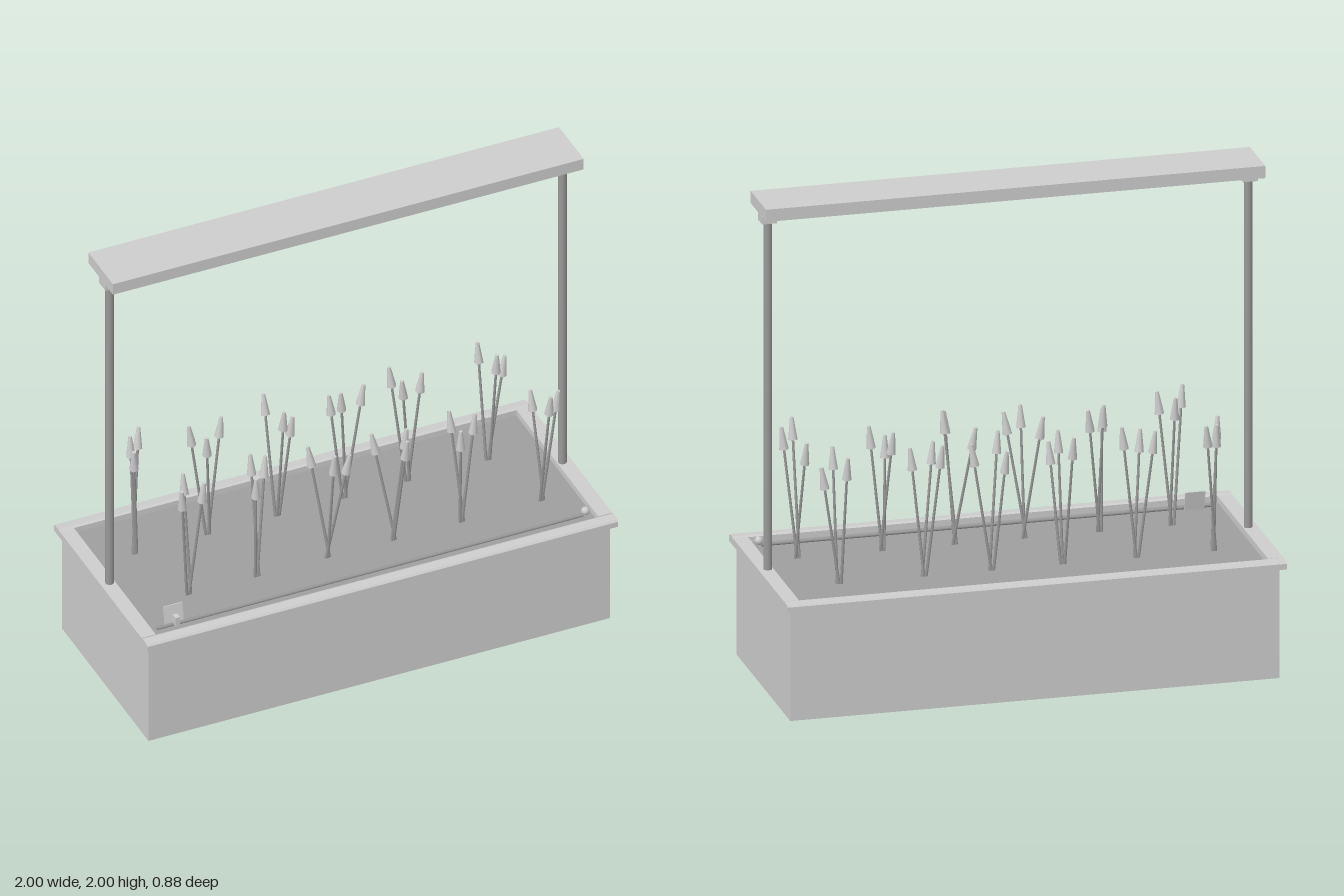
import * as THREE from 'three';

export function createModel() {
  const model = new THREE.Group();
  const mat = (name, color) => new THREE.MeshStandardMaterial({ name, color });
  const light = mat('light grey', 0xcccccc);
  const soilGrey = mat('soil grey', 0x9e9e9e);
  const steel = mat('steel grey', 0x999999);

  function add(name, geometry, material, x = 0, y = 0, z = 0, parent = model) {
    const mesh = new THREE.Mesh(geometry, material);
    mesh.name = name;
    mesh.position.set(x, y, z);
    parent.add(mesh);
    return mesh;
  }
  const box = (name, w, h, d, x, y, z, m = light) =>
    add(name, new THREE.BoxGeometry(w, h, d), m, x, y, z);

  // Cylinder running between two points, r0 at the start and r1 at the end
  function rod(name, a, b, r0, r1, sides, material, parent) {
    const dir = b.clone().sub(a);
    const mesh = add(name, new THREE.CylinderGeometry(r1, r0, dir.length(), sides), material, 0, 0, 0, parent);
    mesh.position.copy(a).add(b).multiplyScalar(0.5);
    mesh.quaternion.setFromUnitVectors(new THREE.Vector3(0, 1, 0), dir.normalize());
    return mesh;
  }

  // Rim board profile: flat top with a slightly lowered outer lip
  const lip = new THREE.Shape();
  [[0.385, 0.455], [0.44, 0.455], [0.44, 0.478], [0.433, 0.485], [0.395, 0.488], [0.385, 0.483]]
    .forEach(([z, y], i) => (i ? lip.lineTo(z, y) : lip.moveTo(z, y)));
  const lipGeometry = new THREE.ExtrudeGeometry(lip, { depth: 2, bevelEnabled: false });
  lipGeometry.translate(0, 0, -1);

  // Open-bottomed trough, rim, posts and brackets, mirrored in pairs
  for (const s of [-1, 1]) {
    box('longWall', 1.96, 0.456, 0.006, 0, 0.228, s * 0.402);
    box('endWall', 0.006, 0.456, 0.806, s * 0.977, 0.228, 0);
    add('longRim', lipGeometry, light).rotation.y = s * Math.PI / 2;
    box('endRim', 0.06, 0.03, 0.77, s * 0.97, 0.47, 0);
    add('post', new THREE.CylinderGeometry(0.017, 0.017, 1.45, 16), steel, s * 0.962, 1.185, 0);
    box('postBracket', 0.06, 0.04, 0.06, s * 0.963, 1.93, 0);
  }
  box('soil', 1.95, 0.006, 0.8, 0, 0.456, 0, soilGrey);
  box('topBeam', 2, 0.05, 0.23, 0, 1.975, 0);

  // Watering pipe with its end knob, and the small label plate
  rod('wateringPipe', new THREE.Vector3(-0.91, 0.468, 0.33), new THREE.Vector3(0.9, 0.468, 0.33), 0.007, 0.007, 10, steel);
  add('pipeKnob', new THREE.SphereGeometry(0.017, 12, 8), light, 0.91, 0.485, 0.33);
  box('pipeClip', 0.02, 0.04, 0.028, -0.83, 0.488, 0.335);
  box('labelPlate', 0.08, 0.08, 0.006, -0.83, 0.5, 0.308).rotation.x = -0.2;

  // Plants: base x, base z, then the tip of each shoot
  const plants = [
    [-0.78, -0.165, [-0.73, 1.0, -0.24], [-0.78, 0.99, -0.21], [-0.81, 0.99, -0.11]],
    [-0.47, -0.165, [-0.54, 0.98, -0.19], [-0.41, 1.0, -0.17], [-0.50, 0.965, -0.11]],
    [-0.175, -0.165, [-0.20, 1.0, -0.24], [-0.17, 0.99, -0.11], [-0.13, 0.95, -0.12]],
    [0.11, -0.165, [0.055, 0.95, -0.19], [0.19, 0.98, -0.16], [0.07, 1.01, -0.11]],
    [0.38, -0.165, [0.315, 1.0, -0.20], [0.43, 0.98, -0.14], [0.33, 0.99, -0.11]],
    [0.72, -0.165, [0.70, 0.99, -0.22], [0.79, 0.94, -0.16], [0.73, 1.0, -0.10]],
    [-0.70, 0.165, [-0.76, 1.01, 0.23], [-0.65, 1.0, 0.20], [-0.70, 1.0, 0.11]],
    [-0.41, 0.165, [-0.43, 0.95, 0.20], [-0.35, 0.98, 0.11], [-0.41, 1.0, 0.10]],
    [-0.11, 0.165, [-0.04, 0.965, 0.22], [-0.11, 0.985, 0.23], [-0.17, 0.97, 0.11]],
    [0.17, 0.165, [0.21, 1.0, 0.20], [0.19, 0.98, 0.25], [0.10, 0.95, 0.11]],
    [0.46, 0.165, [0.44, 0.92, 0.20], [0.51, 0.97, 0.18], [0.43, 0.96, 0.11]],
    [0.80, 0.165, [0.80, 1.01, 0.25], [0.855, 0.99, 0.20], [0.78, 0.95, 0.10]],
  ];
  for (const [x, z, ...tips] of plants) {
    const plant = new THREE.Group();
    plant.name = 'plant';
    model.add(plant);
    tips.forEach((t, i) => {
      const tip = new THREE.Vector3(...t);
      const base = new THREE.Vector3(x + (i - 1) * 0.008, 0.456, z);
      const neck = tip.clone().lerp(base, 0.09 / tip.distanceTo(base));
      rod('stem', base, neck, 0.006, 0.005, 6, steel, plant);
      rod('bud', neck, tip, 0.019, 0.007, 8, light, plant);
    });
  }
  return model;
}
